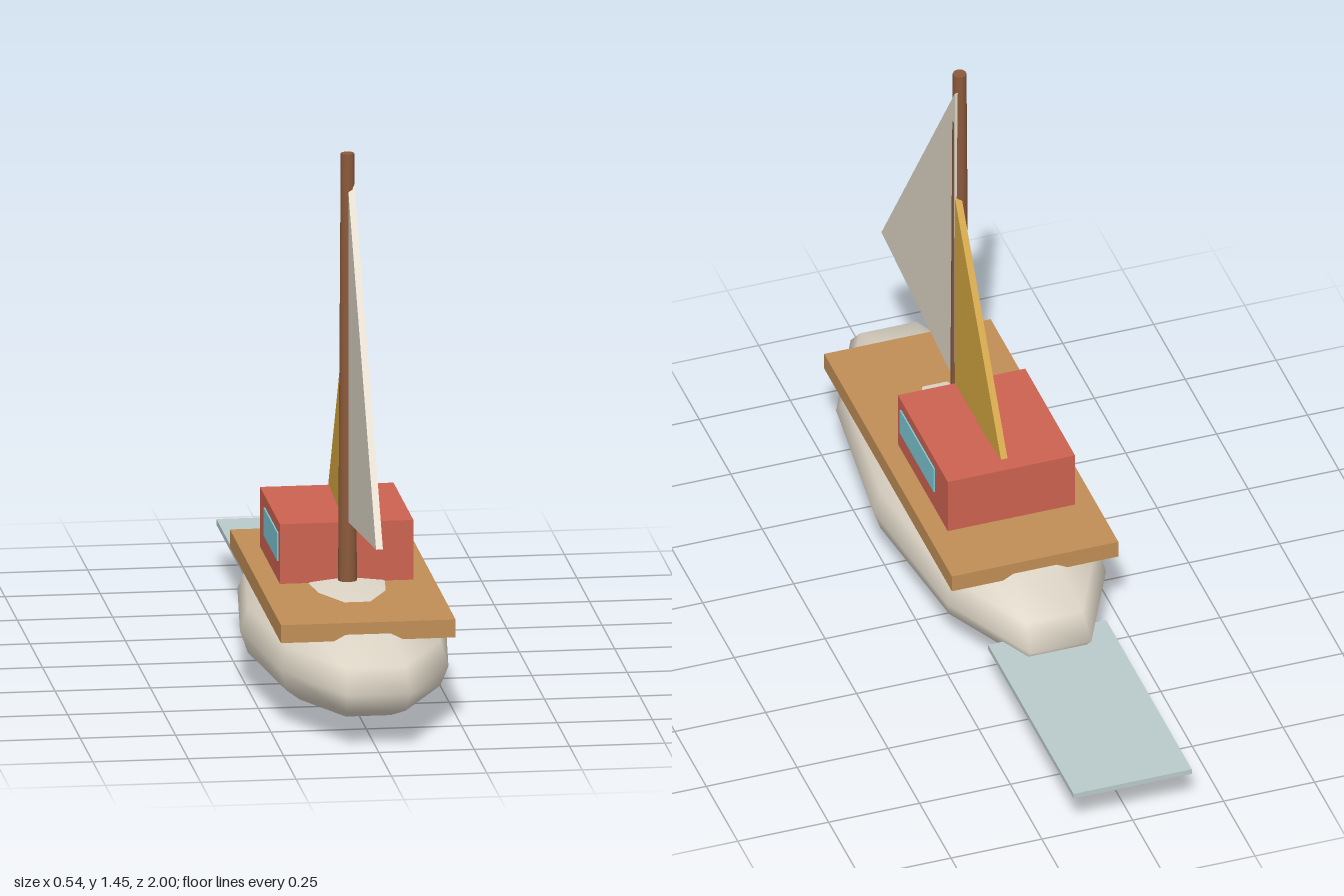
import * as THREE from 'three';

const paint = (name, color) => {
  const m = new THREE.MeshStandardMaterial({ color });
  m.name = name;
  return m;
};

export function createModel() {
  const boat = new THREE.Group();
  boat.name = 'sailboat';

  const cream = paint('cream', 0xddd5c6);
  const wood = paint('deck wood', 0xc08e56);
  const red = paint('cabin red', 0xcd6250);
  const brown = paint('mast brown', 0x8b5a3a);
  const gold = paint('sail gold', 0xd2a440);
  const glass = paint('window blue', 0x7cc6d2);
  const grey = paint('pale blue grey', 0xbacaca);

  const add = (name, geometry, material, x, y, z) => {
    const mesh = new THREE.Mesh(geometry, material);
    mesh.name = name;
    mesh.position.set(x, y, z);
    boat.add(mesh);
    return mesh;
  };
  const box = (name, material, w, h, d, x, y, z) =>
    add(name, new THREE.BoxGeometry(w, h, d), material, x, y, z);

  // Hull: a coarse, smooth-shaded ellipsoid whose crown pokes through the deck
  add('hull', new THREE.SphereGeometry(1, 10, 8), cream, 0, 0.155, 0.285).scale.set(0.27, 0.155, 0.752);

  // Deck, cabin and the flat board at the stern
  box('deck', wood, 0.458, 0.048, 1.015, 0, 0.272, 0.283);
  box('cabin', red, 0.35, 0.164, 0.396, 0, 0.374, 0.162);
  box('sternBoard', grey, 0.325, 0.015, 0.68, 0, 0.118, -0.66);

  // Cabin windows, one each side
  for (const side of [-1, 1]) {
    box(side > 0 ? 'leftWindow' : 'rightWindow', glass, 0.008, 0.075, 0.27, side * 0.175, 0.389, 0.2);
  }

  // Tapered mast
  add('mast', new THREE.CylinderGeometry(0.018, 0.025, 1.155, 10), brown, 0, 0.8725, 0.376);

  // Sails: triangles given as [z, y], extruded sideways from the mast's centre
  const sail = (name, material, corners) => {
    const shape = new THREE.Shape(corners.map(([z, y]) => new THREE.Vector2(-z, y)));
    const geometry = new THREE.ExtrudeGeometry(shape, { depth: 0.018, bevelEnabled: false });
    geometry.rotateY(Math.PI / 2);
    add(name, geometry, material, 0, 0, 0);
  };
  sail('mainSail', cream, [[0.945, 0.53], [0.361, 0.46], [0.361, 1.4]]);
  sail('rearSail', gold, [[0.362, 0.432], [-0.005, 0.468], [0.362, 1.06]]);

  return boat;
}
